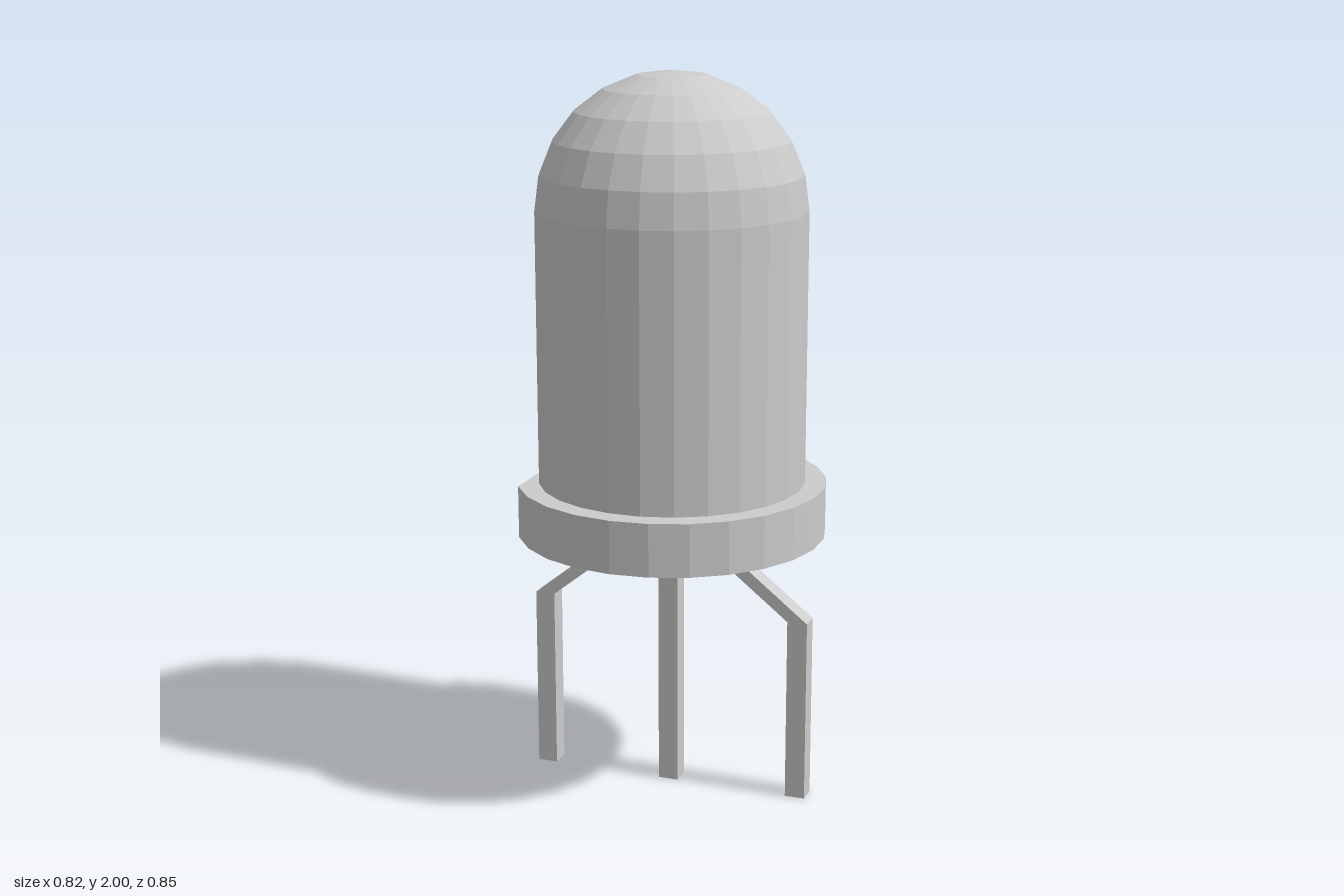
import * as THREE from 'three';

const CENTRE_X = -0.011;
const material = new THREE.MeshStandardMaterial({ color: 0xcccccc, flatShading: true });

function addMesh(group, name, geometry) {
  const flat = geometry.index ? geometry.toNonIndexed() : geometry;
  flat.computeVertexNormals();
  const mesh = new THREE.Mesh(flat, material);
  mesh.name = name;
  group.add(mesh);
  return mesh;
}

// Cylindrical lens with a hemispherical top
function lensGeometry() {
  const radius = 0.367, base = 0.885, shoulder = 1.633, rings = 6;
  const profile = [new THREE.Vector2(radius, base)];
  for (let i = 0; i <= rings; i++) {
    const a = (i / rings) * Math.PI / 2;
    profile.push(new THREE.Vector2(i === rings ? 0 : radius * Math.cos(a), shoulder + radius * Math.sin(a)));
  }
  return new THREE.LatheGeometry(profile, 26, Math.PI / 2);
}

// Round flange with one flat side facing -x
function flangeGeometry() {
  const radius = 0.426, sides = 21, sweep = THREE.MathUtils.degToRad(149.6);
  const points = [];
  for (let i = 0; i <= sides; i++) {
    const a = -sweep + (2 * sweep * i) / sides;
    points.push(new THREE.Vector2(radius * Math.cos(a), radius * Math.sin(a)));
  }
  const geometry = new THREE.ExtrudeGeometry(new THREE.Shape(points), { depth: 0.145, bevelEnabled: false });
  return geometry.rotateX(-Math.PI / 2).translate(0, 0.74, 0);
}

// Square lead following [x, y] centre points, cut horizontally at each bend
function leadGeometry(path) {
  const half = 0.028;
  const right = path.map(([x, y]) => new THREE.Vector2(x + half, y));
  const left = path.map(([x, y]) => new THREE.Vector2(x - half, y)).reverse();
  const shape = new THREE.Shape([...right, ...left]);
  return new THREE.ExtrudeGeometry(shape, { depth: 2 * half, bevelEnabled: false }).translate(0, 0, -half);
}

export function createModel() {
  const model = new THREE.Group();
  model.name = 'lightEmittingDiode';

  const body = new THREE.Group();
  body.name = 'body';
  body.position.x = CENTRE_X;
  model.add(body);
  addMesh(body, 'lens', lensGeometry());
  addMesh(body, 'flange', flangeGeometry());

  // One straight lead between two mirrored bent ones
  const leads = new THREE.Group();
  leads.name = 'leads';
  leads.position.x = CENTRE_X;
  model.add(leads);
  addMesh(leads, 'middleLead', leadGeometry([[-0.002, 0], [-0.002, 0.74]]));
  for (const [name, s] of [['leftLead', 1], ['rightLead', -1]]) {
    addMesh(leads, name, leadGeometry([[s * 0.374, 0], [s * 0.374, 0.516], [s * 0.188, 0.664], [s * 0.188, 0.74]]));
  }
  return model;
}
